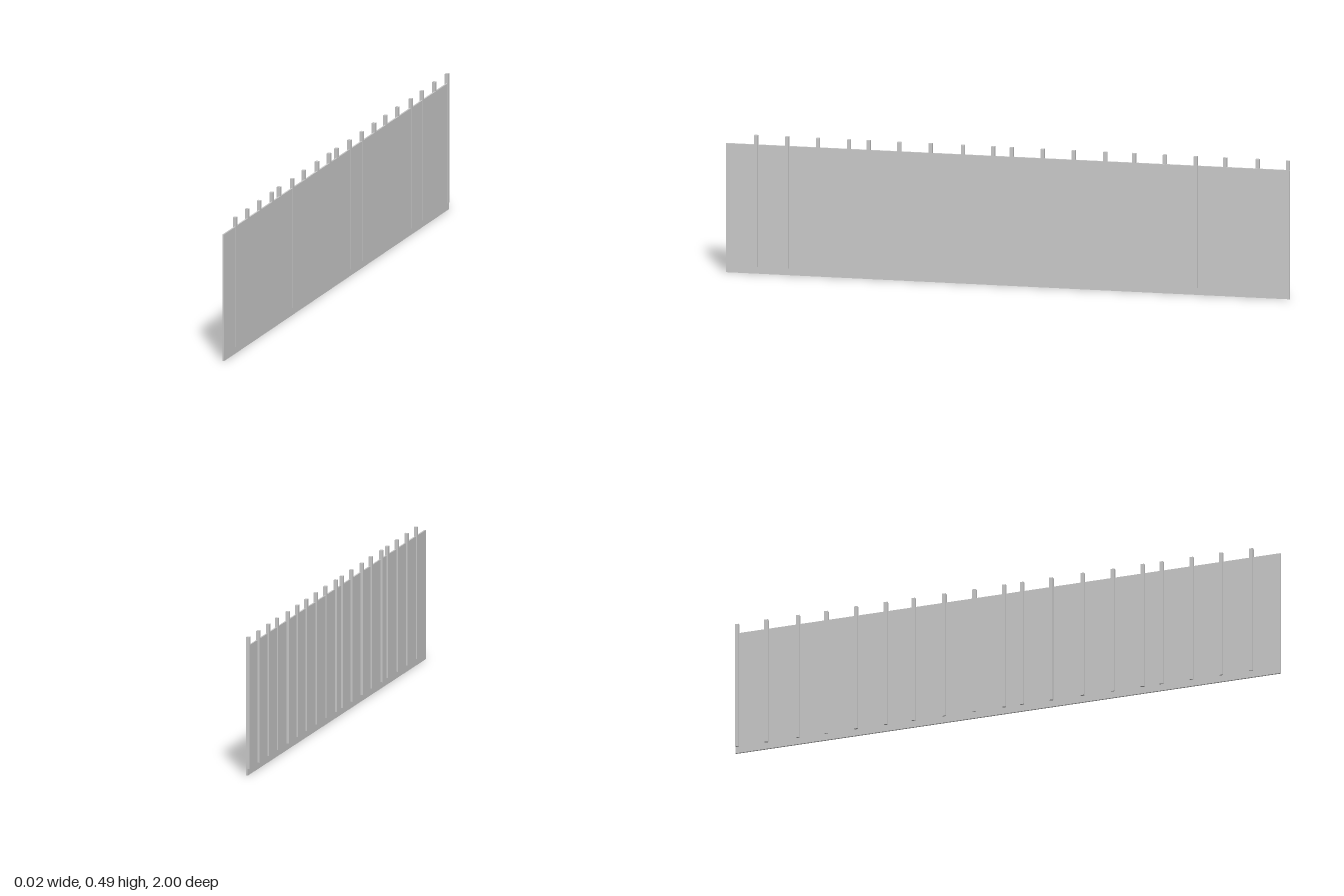
import * as THREE from 'three';

// Post positions along the fence: [z, sideways offset]
const POSTS = [
  [0.893, 0.0015], [0.783, 0], [0.674, 0], [0.564, 0], [0.495, -0.002],
  [0.385, 0.0015], [0.275, -0.002], [0.16, -0.001], [0.053, -0.001], [-0.013, -0.001],
  [-0.123, 0.0015], [-0.233, 0.001], [-0.345, -0.0005], [-0.447, -0.0005], [-0.556, -0.002],
  [-0.666, 0.0015], [-0.77, 0], [-0.885, -0.002], [-0.993, 0],
];

export function createModel() {
  const group = new THREE.Group();
  const material = new THREE.MeshStandardMaterial({ color: 0xcccccc, flatShading: true });

  function box(name, w, h, d, x, y, z) {
    const mesh = new THREE.Mesh(new THREE.BoxGeometry(w, h, d), material);
    mesh.name = name;
    mesh.position.set(x, y, z);
    group.add(mesh);
  }

  // Long thin fence sheet standing on the ground
  box('fenceSheet', 0.0055, 0.458, 2, 0.0027, 0.229, 0);

  // Square stakes running through the sheet and rising above its top edge
  const bottom = 0.024, top = 0.491;
  POSTS.forEach(([z, x], i) => {
    box(`post${i + 1}`, 0.012, top - bottom, 0.013, x, (top + bottom) / 2, z);
  });

  return group;
}
